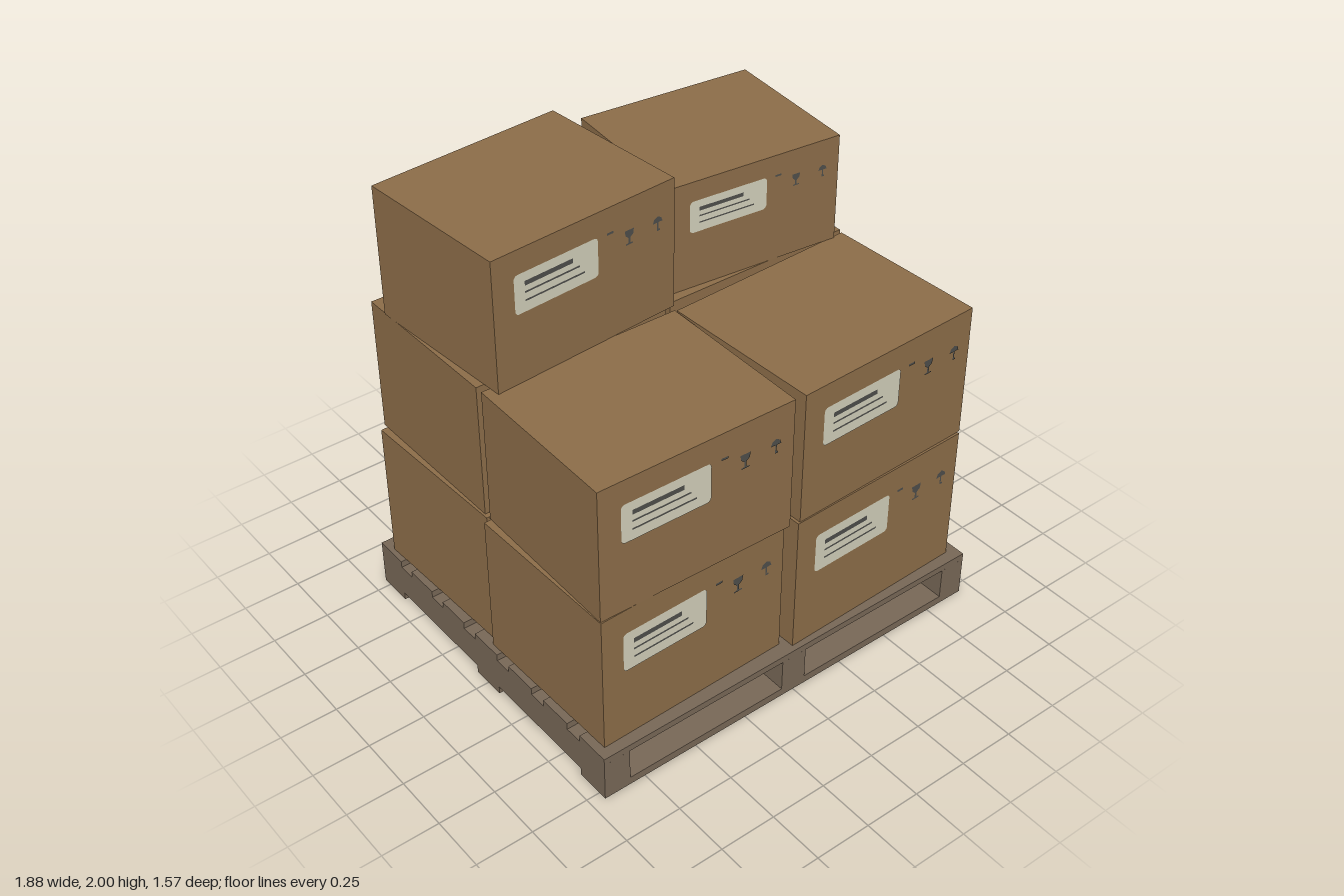
import * as THREE from 'three';

const mat = (name, color) => {
  const m = new THREE.MeshStandardMaterial({ color });
  m.name = name;
  return m;
};

export function createModel() {
  const cardboard = mat('cardboard', 0x8b6c48);
  const wood = mat('weathered wood', 0x776756);
  const paper = mat('label paper', 0xd0cdb8);
  const ink = mat('dark ink', 0x4d4d4a);

  const model = new THREE.Group();
  model.name = 'loadedPallet';

  const add = (parent, name, geometry, material, x = 0, y = 0, z = 0) => {
    const mesh = new THREE.Mesh(geometry, material);
    mesh.name = name;
    mesh.position.set(x, y, z);
    parent.add(mesh);
    return mesh;
  };

  // Pallet: bottom boards, stringers running front to back, top boards
  const pallet = new THREE.Group();
  pallet.name = 'pallet';
  model.add(pallet);
  const PW = 1.88, PD = 1.574;
  for (const z of [-0.709, 0, 0.709])
    add(pallet, 'bottomBoard', new THREE.BoxGeometry(PW, 0.035, 0.156), wood, 0, 0.0175, z);
  for (const x of [-0.88, 0, 0.88])
    add(pallet, 'stringer', new THREE.BoxGeometry(0.12, 0.145, PD), wood, x, 0.1075, 0);
  for (let i = -3; i <= 3; i++)
    add(pallet, 'topBoard', new THREE.BoxGeometry(PW, 0.03, 0.156), wood, 0, 0.195, i * 0.2363);

  // Rounded label outline
  const roundedRect = (w, h, r) => {
    const s = new THREE.Shape();
    s.absarc(w / 2 - r, h / 2 - r, r, 0, Math.PI / 2);
    s.absarc(-w / 2 + r, h / 2 - r, r, Math.PI / 2, Math.PI);
    s.absarc(-w / 2 + r, -h / 2 + r, r, Math.PI, Math.PI * 1.5);
    s.absarc(w / 2 - r, -h / 2 + r, r, Math.PI * 1.5, Math.PI * 2);
    return new THREE.ShapeGeometry(s, 4);
  };

  const polygon = pts =>
    new THREE.ShapeGeometry(new THREE.Shape(pts.map(p => new THREE.Vector2(...p))));

  // Care symbols: a goblet and an umbrella, one unit tall
  const goblet = polygon([
    [-0.28, -0.5], [0.28, -0.5], [0.28, -0.42], [0.07, -0.38], [0.07, -0.05],
    [0.3, 0.15], [0.36, 0.5], [-0.36, 0.5], [-0.3, 0.15], [-0.07, -0.05],
    [-0.07, -0.38], [-0.28, -0.42]]);
  const umbrella = polygon([
    [-0.05, -0.5], [0.17, -0.5], [0.17, -0.38], [0.05, -0.38], [0.05, 0.08],
    [0.38, 0.08], [0.28, 0.35], [0, 0.5], [-0.28, 0.35], [-0.38, 0.08], [-0.05, 0.08]]);

  // Printed panel for one face of a carton, sized from the face
  const printedFace = (w, h) => {
    const g = new THREE.Group();
    const lw = 0.452 * w, lh = 0.294 * h, lx = -0.164 * w, ly = 0.176 * h;
    add(g, 'label', roundedRect(lw, lh, 0.018), paper, lx, ly, 0.003);
    // Ruled bars: length, distance from label top, thickness
    for (const [len, down, t] of [[0.57, 0.28, 0.12], [0.65, 0.5, 0.045], [0.71, 0.71, 0.045]])
      add(g, 'labelBar', new THREE.PlaneGeometry(len * lw, t * lh), ink,
        lx + lw * (-0.38 + len / 2), ly + lh * (0.5 - down), 0.005);
    add(g, 'tapeMark', new THREE.PlaneGeometry(0.036 * w, 0.017 * h), ink, 0.13 * w, 0.31 * h, 0.003);
    [[goblet, 0.238, 'gobletMark'], [umbrella, 0.4, 'umbrellaMark']].forEach(([geo, x, name]) => {
      add(g, name, geo, ink, x * w, 0.215 * h, 0.003).scale.setScalar(0.11 * h);
    });
    return g;
  };

  // Carton with the same print on front and back
  const carton = (name, w, h, d, x, y, z, turn) => {
    const g = new THREE.Group();
    g.name = name;
    g.position.set(x, y + h / 2, z);
    g.rotation.y = turn;
    add(g, 'carton', new THREE.BoxGeometry(w, h, d), cardboard);
    for (const back of [false, true]) {
      const face = printedFace(w, h);
      face.name = back ? 'backPrint' : 'frontPrint';
      face.position.z = back ? -d / 2 : d / 2;
      face.rotation.y = back ? Math.PI : 0;
      g.add(face);
    }
    model.add(g);
  };

  // Bottom layer
  const W = 0.878, D = 0.72;
  carton('bottomFrontRightBox', W, 0.63, D, -0.47, 0.21, 0.369, 0.02);
  carton('bottomFrontLeftBox', W, 0.63, D, 0.44, 0.21, 0.388, 0.029);
  carton('bottomBackRightBox', W, 0.63, D, -0.467, 0.21, -0.375, 0.035);
  carton('bottomBackLeftBox', W, 0.63, D, 0.44, 0.21, -0.366, 0.02);
  // Middle layer
  carton('middleFrontRightBox', W, 0.595, D, -0.453, 0.84, 0.38, -0.02);
  carton('middleFrontLeftBox', W, 0.595, D, 0.45, 0.84, 0.38, 0.035);
  carton('middleBackRightBox', W, 0.595, D, -0.447, 0.84, -0.385, 0.005);
  carton('middleBackLeftBox', W, 0.595, D, 0.45, 0.84, -0.378, -0.007);
  // Top layer
  carton('topTallBox', 0.857, 0.565, 0.7, -0.44, 1.435, -0.317, 0.07);
  carton('topShortBox', 0.784, 0.47, 0.659, 0.47, 1.435, -0.353, -0.103);

  return model;
}
